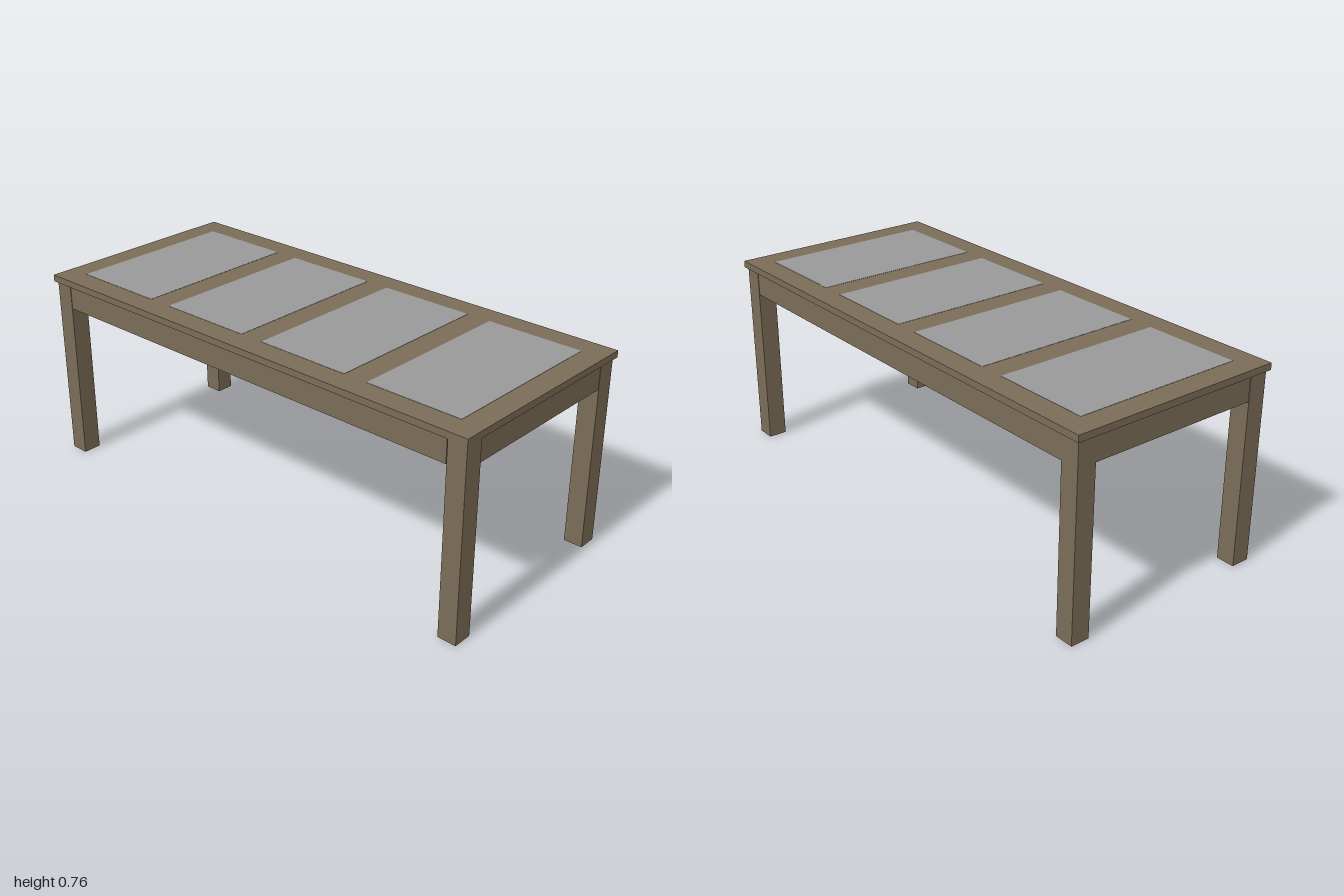
import * as THREE from 'three';

export function createModel() {
  const wood = new THREE.MeshStandardMaterial({ color: 0x7a6c57 });
  wood.name = 'brown wood';
  const inlay = new THREE.MeshStandardMaterial({ color: 0x999999 });
  inlay.name = 'grey inlay';

  const table = new THREE.Group();
  table.name = 'table';

  // box given by its bottom height, top height and centre
  const box = (name, material, w, d, y0, y1, x, z) => {
    const mesh = new THREE.Mesh(new THREE.BoxGeometry(w, y1 - y0, d), material);
    mesh.name = name;
    mesh.position.set(x, (y0 + y1) / 2, z);
    table.add(mesh);
  };

  const HX = 0.9975, HZ = 0.4295; // half size of the top
  const TOP = 0.761, UNDER = 0.735, LEG = 0.074, INSET = 0.011;
  const legX = HX - INSET - LEG / 2, legZ = HZ - INSET - LEG / 2;

  // top with four inlaid panels
  box('tableTop', wood, HX * 2, HZ * 2, UNDER, TOP, 0, 0);
  for (let i = 0; i < 4; i++) {
    box('inlayPanel', inlay, 0.382, 0.68, TOP - 0.001, TOP + 0.001, (i - 1.5) * 0.478, 0);
  }

  // legs; the front left one sits flush with the corner of the top
  for (const sx of [-1, 1]) {
    for (const sz of [-1, 1]) {
      const flush = sx > 0 && sz > 0;
      const shift = flush ? INSET + 0.0005 : 0;
      box('leg', wood, LEG, LEG, 0, flush ? TOP : UNDER, sx * legX + shift, sz * legZ + shift);
    }
  }

  // aprons between the legs
  const T = 0.02, LOW = 0.638;
  for (const s of [-1, 1]) {
    box('longApron', wood, 2 * legX - LEG, T, LOW, UNDER, 0, s * (HZ - INSET - 0.002 - T / 2));
    box('shortApron', wood, T, 2 * legZ - LEG, LOW, UNDER, s * (HX - INSET - 0.002 - T / 2), 0);
  }

  // slight turn of the whole table
  table.rotation.y = -0.0056;
  const model = new THREE.Group();
  model.name = 'diningTable';
  model.add(table);
  return model;
}
